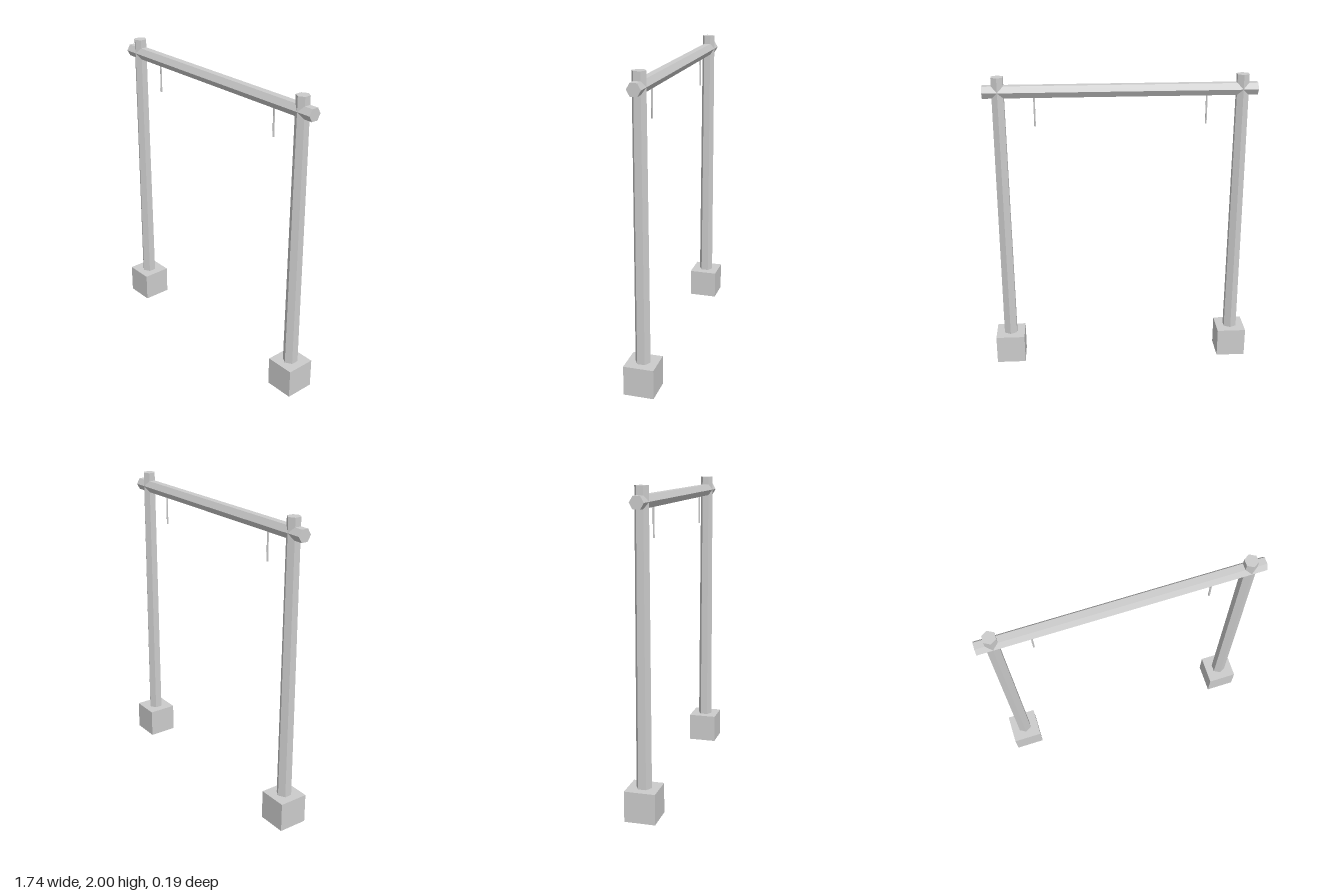
import * as THREE from 'three';

export function createModel() {
  const group = new THREE.Group();
  group.name = 'hangingFrame';
  const grey = new THREE.MeshStandardMaterial({ color: 0xcccccc, flatShading: true });
  grey.name = 'light grey';

  const add = (name, geometry, x, y) => {
    const mesh = new THREE.Mesh(geometry, grey);
    mesh.name = name;
    mesh.position.set(x, y, 0);
    group.add(mesh);
    return mesh;
  };

  const baseSize = 0.194;
  const postHeight = 2 - baseSize;
  const beamY = 1.907;
  const hangerBottom = 1.68;

  // Footing, tapered hexagonal post and thin hanger on each side
  for (const [side, s] of [['left', 1], ['right', -1]]) {
    add(side + 'Footing', new THREE.BoxGeometry(baseSize, baseSize, baseSize), s * 0.774, baseSize / 2);
    add(side + 'Post', new THREE.CylinderGeometry(0.043, 0.049, postHeight, 6), s * 0.774, baseSize + postHeight / 2);
    add(side + 'Hanger', new THREE.CylinderGeometry(0.006, 0.006, beamY - hangerBottom, 6), s * 0.548, (beamY + hangerBottom) / 2);
  }

  // Hexagonal crossbeam, flat side up
  const beam = new THREE.CylinderGeometry(0.044, 0.044, 1.742, 6);
  beam.rotateZ(Math.PI / 2);
  add('crossbeam', beam, 0, beamY);

  return group;
}
